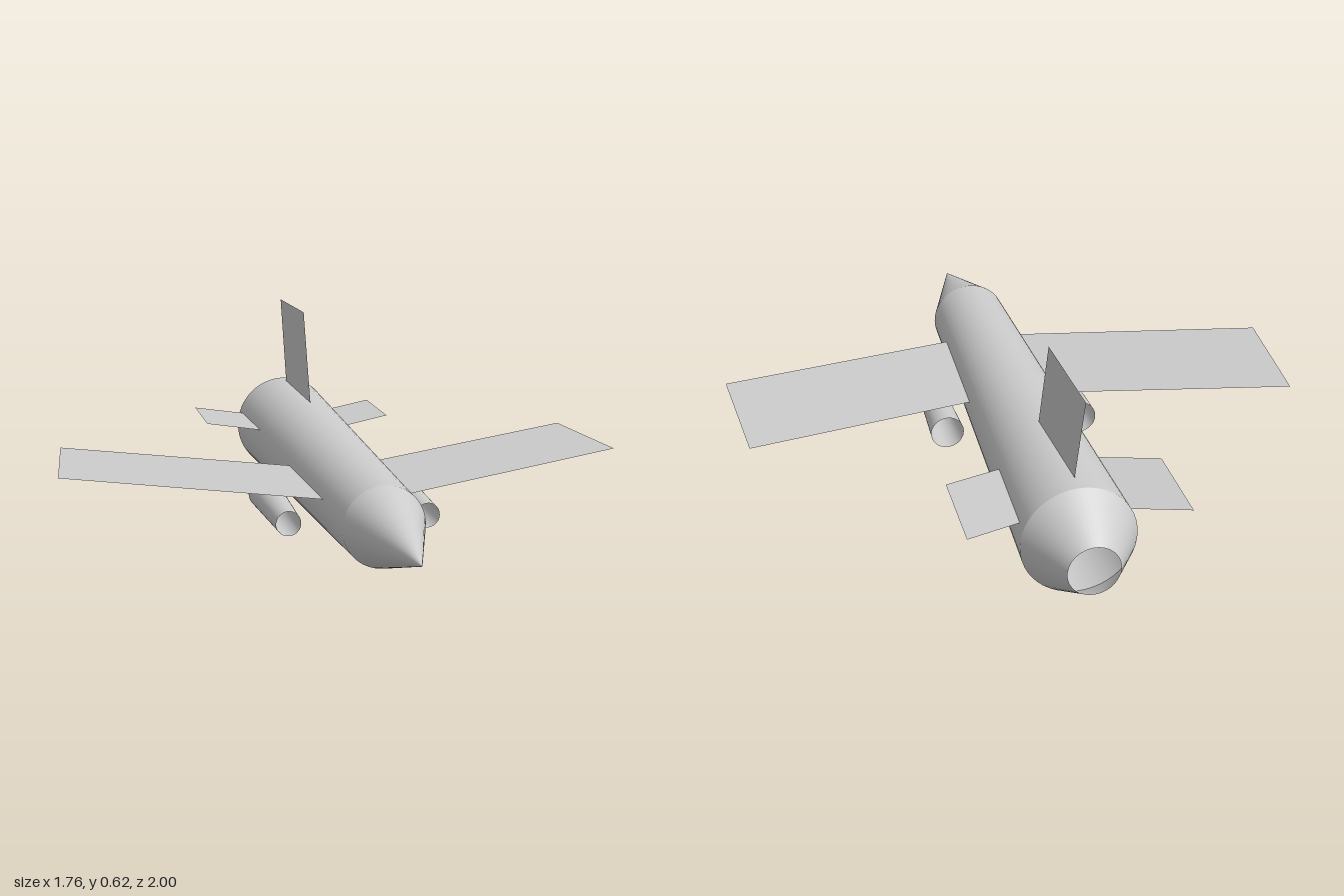
import * as THREE from 'three';

const AXIS_Y = 0.169;

export function createModel() {
  const model = new THREE.Group();
  const material = new THREE.MeshStandardMaterial({ color: 0xcccccc, side: THREE.DoubleSide });

  function add(name, geometry) {
    const mesh = new THREE.Mesh(geometry, material);
    mesh.name = name;
    model.add(mesh);
    return mesh;
  }

  // Open tapered tube along z, from the front end to the back end
  function tube(name, x, y, zFront, rFront, zBack, rBack) {
    const geometry = new THREE.CylinderGeometry(rFront, rBack, zFront - zBack, 48, 1, true);
    geometry.rotateX(Math.PI / 2);
    add(name, geometry).position.set(x, y, (zFront + zBack) / 2);
  }

  // Thin four-cornered sheet
  function sheet(name, corners) {
    const geometry = new THREE.BufferGeometry();
    geometry.setAttribute('position', new THREE.Float32BufferAttribute(corners.flat(), 3));
    geometry.setIndex([0, 1, 2, 0, 2, 3]);
    geometry.computeVertexNormals();
    add(name, geometry);
  }

  // Fuselage: pointed nose, widening body, open tail cone
  tube('nose', 0, AXIS_Y, 1, 0, 0.61, 0.122);
  tube('body', 0, AXIS_Y, 0.61, 0.122, -0.845, 0.168);
  tube('tailCone', 0, AXIS_Y, -0.845, 0.168, -1, 0.075);

  // Mirrored wings, tailplanes and engines
  for (const [side, s] of [['left', 1], ['right', -1]]) {
    const mirror = (corners) => {
      const list = corners.map(([x, y, z]) => [x * s, y, z]);
      return s > 0 ? list : list.reverse();
    };
    sheet(side + 'Wing', mirror([
      [0.11, 0.198, 0.385], [0.878, 0.249, 0.15], [0.843, 0.247, -0.27], [0.09, 0.197, -0.04],
    ]));
    sheet(side + 'Tailplane', mirror([
      [0.12, 0.218, -0.495], [0.32, 0.235, -0.58], [0.32, 0.235, -0.87], [0.12, 0.218, -0.785],
    ]));
    tube(side + 'Engine', s * 0.215, 0.111, 0.31, 0.038, -0.075, 0.052);
  }

  // Upright fin, turned very slightly off the centre line
  sheet('fin', [
    [0.013, 0.3, -0.428], [0, 0.3, -0.775], [0, 0.618, -0.88], [0.013, 0.618, -0.54],
  ]);

  return model;
}
